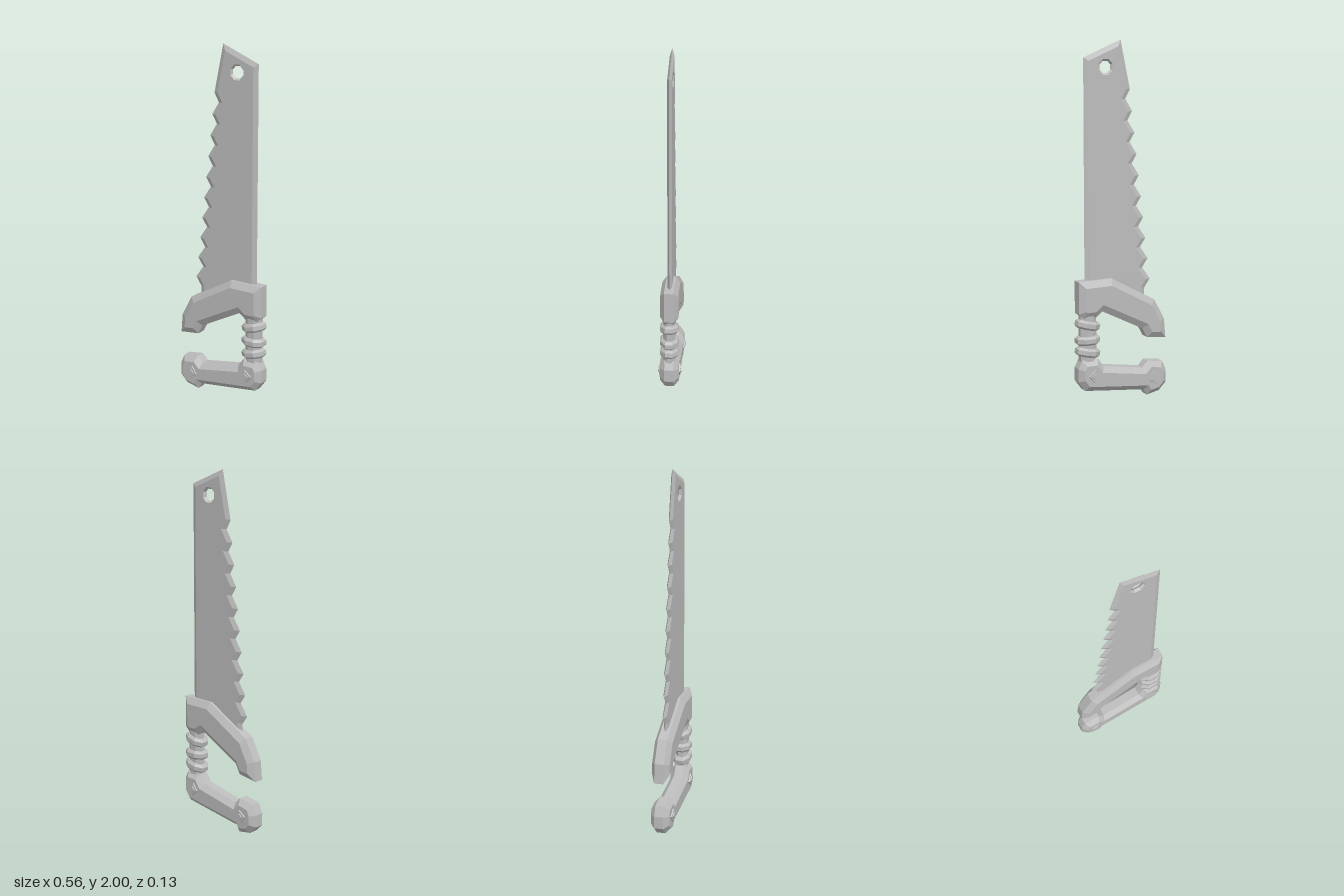
import * as THREE from 'three';

const steel = new THREE.MeshStandardMaterial({ color: 0xbcbcbc, flatShading: true });
steel.name = 'grey steel';

const V = (x, y) => new THREE.Vector2(x, y);

// Mitred inset of a counter-clockwise outline
function inset(pts, d) {
  const n = pts.length;
  return pts.map((p, i) => {
    const a = p.clone().sub(pts[(i + n - 1) % n]).normalize();
    const b = pts[(i + 1) % n].clone().sub(p).normalize();
    const na = V(-a.y, a.x), nb = V(-b.y, b.x);
    const m = na.clone().add(nb);
    return p.clone().addScaledVector(m, d / (1 + na.dot(nb)));
  });
}

// Solid slab with chamfered rims: half thickness zRim at the rim, zFace on the faces
function slab(outline, bevel, zRim, zFace, hole) {
  const outer = THREE.ShapeUtils.isClockWise(outline) ? outline.slice().reverse() : outline;
  const inner = inset(outer, bevel);
  const out = [];
  const put = (p, z) => out.push(p.x, p.y, z);
  const walls = (rim, face) => {
    const layers = [[face, -zFace], [rim, -zRim], [rim, zRim], [face, zFace]];
    for (let k = 0; k < 3; k++) {
      const [a, za] = layers[k], [b, zb] = layers[k + 1];
      if (za === zb) continue;
      a.forEach((p, i) => {
        const j = (i + 1) % a.length;
        put(p, za); put(a[j], za); put(b[j], zb);
        put(p, za); put(b[j], zb); put(b[i], zb);
      });
    }
  };
  walls(outer, inner);
  if (hole) walls(hole.rim, hole.face);
  const holes = hole ? [hole.face] : [];
  const all = inner.concat(...holes);
  for (const [a, b, c] of THREE.ShapeUtils.triangulateShape(inner.slice(), holes)) {
    put(all[a], zFace); put(all[b], zFace); put(all[c], zFace);
    put(all[c], -zFace); put(all[b], -zFace); put(all[a], -zFace);
  }
  const g = new THREE.BufferGeometry();
  g.setAttribute('position', new THREE.Float32BufferAttribute(out, 3));
  g.computeVertexNormals();
  return g;
}

const outlineOf = list => list.map(([x, y]) => V(x, y));

// Clockwise octagon for the hanging hole
const octagon = (x, y, r) => Array.from({ length: 8 }, (_, i) => {
  const a = -(i + 0.5) * Math.PI / 4;
  return V(x + r * Math.cos(a), y + r * Math.sin(a));
});

export function createModel() {
  const group = new THREE.Group();
  const add = (name, geometry, parent = group) => {
    const mesh = new THREE.Mesh(geometry, steel);
    mesh.name = name;
    parent.add(mesh);
    return mesh;
  };

  // Blade with ten teeth on its left edge
  const blade = [V(0, 2)];
  for (let i = 9; i >= 0; i--) {
    blade.push(V(-0.185 + 0.0142 * i, 0.672 + 0.118 * i));
    blade.push(V(-0.15 + 0.0135 * i, 0.622 + 0.118 * i));
  }
  blade.push(V(-0.15, 0.53), V(0.223, 0.58), V(0.223, 1.91));
  add('blade', slab(blade, 0.026, 0, 0.012, {
    rim: octagon(0.095, 1.857, 0.035), face: octagon(0.095, 1.857, 0.045)
  }));

  // Upper guard that holds the blade
  add('upperGuard', slab(outlineOf([
    [0.07, 0.705], [-0.2, 0.555], [-0.265, 0.435], [-0.275, 0.325], [-0.155, 0.34],
    [-0.125, 0.395], [0.127, 0.525], [0.165, 0.497], [0.24, 0.497], [0.27, 0.525], [0.27, 0.705]
  ]), 0.036, 0.026, 0.05));

  // Lower guard with a knob at each end
  add('lowerGuard', slab(outlineOf([
    [0.155, 0.26], [0.12, 0.21], [-0.125, 0.165], [-0.16, 0.2], [-0.255, 0.185],
    [-0.28, 0.13], [-0.28, 0.06], [-0.235, 0.015], [-0.155, 0], [-0.135, 0.035],
    [0.165, 0.075], [0.235, 0.085], [0.275, 0.14], [0.275, 0.215], [0.25, 0.26]
  ]), 0.03, 0.025, 0.053));

  // Grip column wrapped by three bands
  const grip = new THREE.Group();
  grip.name = 'grip';
  grip.position.x = 0.207;
  group.add(grip);
  const core = new THREE.CylinderGeometry(0.052, 0.052, 0.32, 8);
  core.rotateY(Math.PI / 8);
  core.scale(1, 1, 0.7);
  add('gripCore', core, grip).position.y = 0.39;

  const bandProfile = outlineOf([[0.03, -0.024], [0.06, -0.024], [0.074, -0.012],
    [0.074, 0.012], [0.06, 0.024], [0.03, 0.024]]);
  for (const [y, tilt] of [[0.455, 0.24], [0.37, 0], [0.3, 0.2]]) {
    const band = new THREE.LatheGeometry(bandProfile, 8);
    band.rotateY(Math.PI / 8);
    band.scale(1, 1, 0.75);
    const mesh = add('gripBand', band, grip);
    mesh.position.y = y;
    mesh.rotation.z = tilt;
  }

  // Square rivets on both faces of the lower guard
  for (const [x, y, turn] of [[-0.187, 0.106, -0.2], [0.187, 0.17, 0.1]]) {
    for (const side of [1, -1]) {
      const rivet = new THREE.Group();
      rivet.name = 'rivet';
      rivet.position.set(x, y, 0.05 * side);
      rivet.rotation.z = turn;
      group.add(rivet);
      for (const [name, r, h] of [['rivetBase', 0.04, 0.01], ['rivetHead', 0.022, 0.016]]) {
        const g = new THREE.CylinderGeometry(r * 0.9, r, h, 4);
        g.rotateX(side * Math.PI / 2);
        g.translate(0, 0, side * h / 2);
        add(name, g, rivet);
      }
    }
  }
  return group;
}
